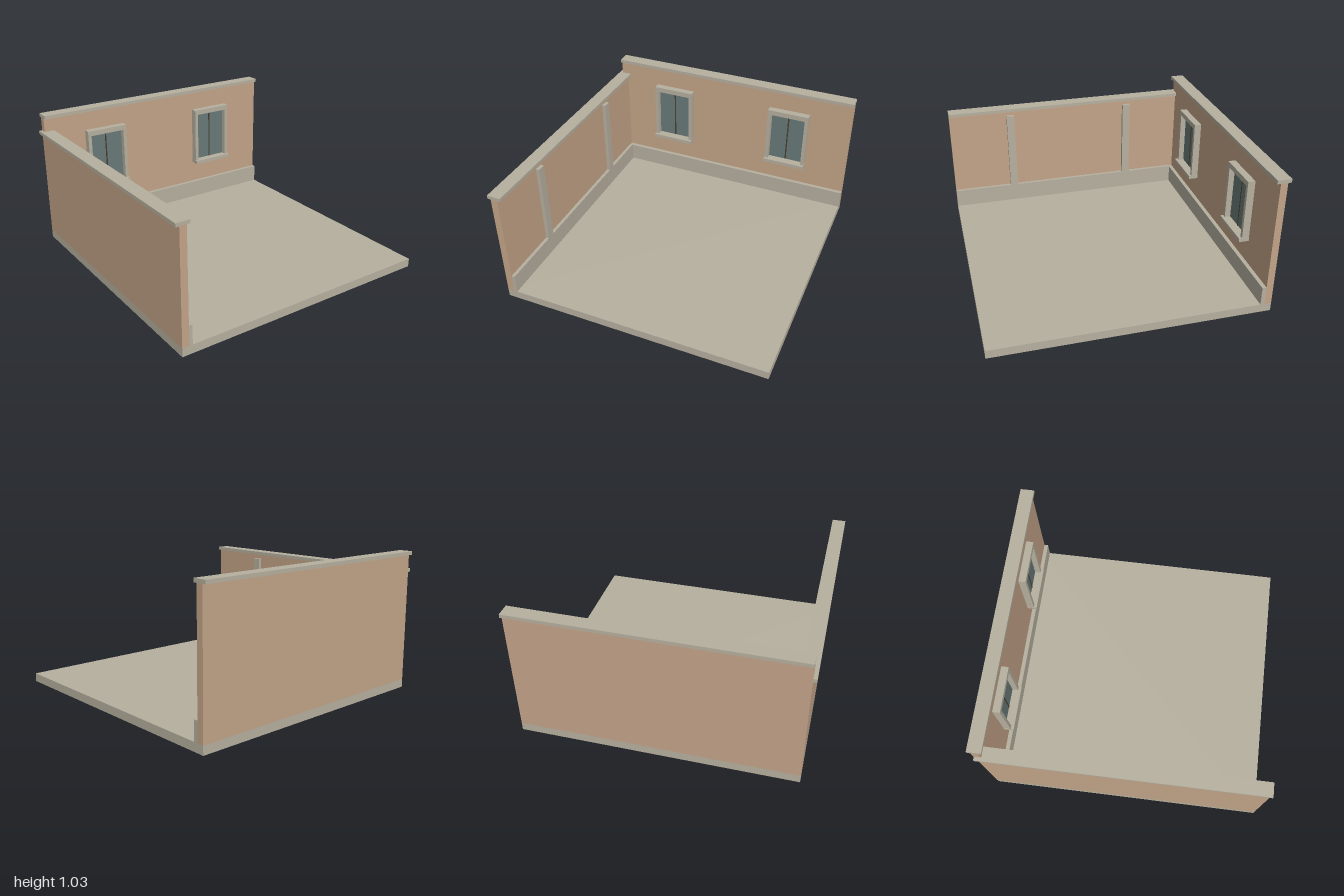
import * as THREE from 'three';

const stone = new THREE.MeshStandardMaterial({ color: 0xb6b09f });
const plaster = new THREE.MeshStandardMaterial({ color: 0xc3a488 });
const glass = new THREE.MeshStandardMaterial({ color: 0x687a78 });
const darkWood = new THREE.MeshStandardMaterial({ color: 0x4a4030 });

// Box given by its lower and upper limits on each axis
function block(parent, name, material, [x0, x1], [y0, y1], [z0, z1]) {
  const mesh = new THREE.Mesh(new THREE.BoxGeometry(x1 - x0, y1 - y0, z1 - z0), material);
  mesh.position.set((x0 + x1) / 2, (y0 + y1) / 2, (z0 + z1) / 2);
  mesh.name = name;
  parent.add(mesh);
  return mesh;
}

// Framed window mounted on the inner face of the back wall, centred on x = 0
function createWindow() {
  const win = new THREE.Group();
  win.name = 'window';
  const depth = [-0.925, -0.872];
  block(win, 'windowGlass', glass, [-0.14, 0.14], [0.4, 0.812], [-0.93, -0.915]);
  block(win, 'windowMullion', darkWood, [-0.005, 0.005], [0.405, 0.8], [-0.916, -0.911]);
  for (const side of [-1, 1]) {
    const x = side * 0.152;
    block(win, 'windowJamb', stone, [x - 0.0135, x + 0.0135], [0.4, 0.81], depth);
  }
  block(win, 'windowLintel', stone, [-0.1655, 0.1655], [0.81, 0.85], depth);
  block(win, 'windowSill', stone, [-0.168, 0.168], [0.375, 0.403], [-0.925, -0.85]);
  return win;
}

export function createModel() {
  const model = new THREE.Group();
  model.name = 'roomCorner';

  // Floor slab
  block(model, 'floor', stone, [-0.975, 1], [0, 0.062], [-0.975, 1]);

  // Tall back wall with coping and skirting
  block(model, 'backWall', plaster, [-0.975, 1], [0.062, 1], [-0.975, -0.925]);
  block(model, 'backCoping', stone, [-0.975, 1], [1, 1.026], [-1, -0.9]);
  block(model, 'backSkirting', stone, [-0.925, 1], [0.062, 0.2], [-0.925, -0.895]);

  // Lower side wall with coping and skirting
  block(model, 'sideWall', plaster, [-0.975, -0.925], [0.062, 0.872], [-0.925, 1]);
  block(model, 'sideCoping', stone, [-1, -0.9], [0.872, 0.897], [-0.975, 1]);
  block(model, 'sideSkirting', stone, [-0.925, -0.9], [0.062, 0.205], [-0.895, 1]);

  // Pilasters standing on the side skirting
  for (const z of [0.507, -0.48]) {
    block(model, 'pilaster', stone, [-0.925, -0.898], [0.205, 0.835], [z - 0.031, z + 0.031]);
  }

  // Pair of windows on the back wall
  for (const x of [-0.483, 0.505]) {
    const win = createWindow();
    win.position.x = x;
    model.add(win);
  }

  return model;
}
